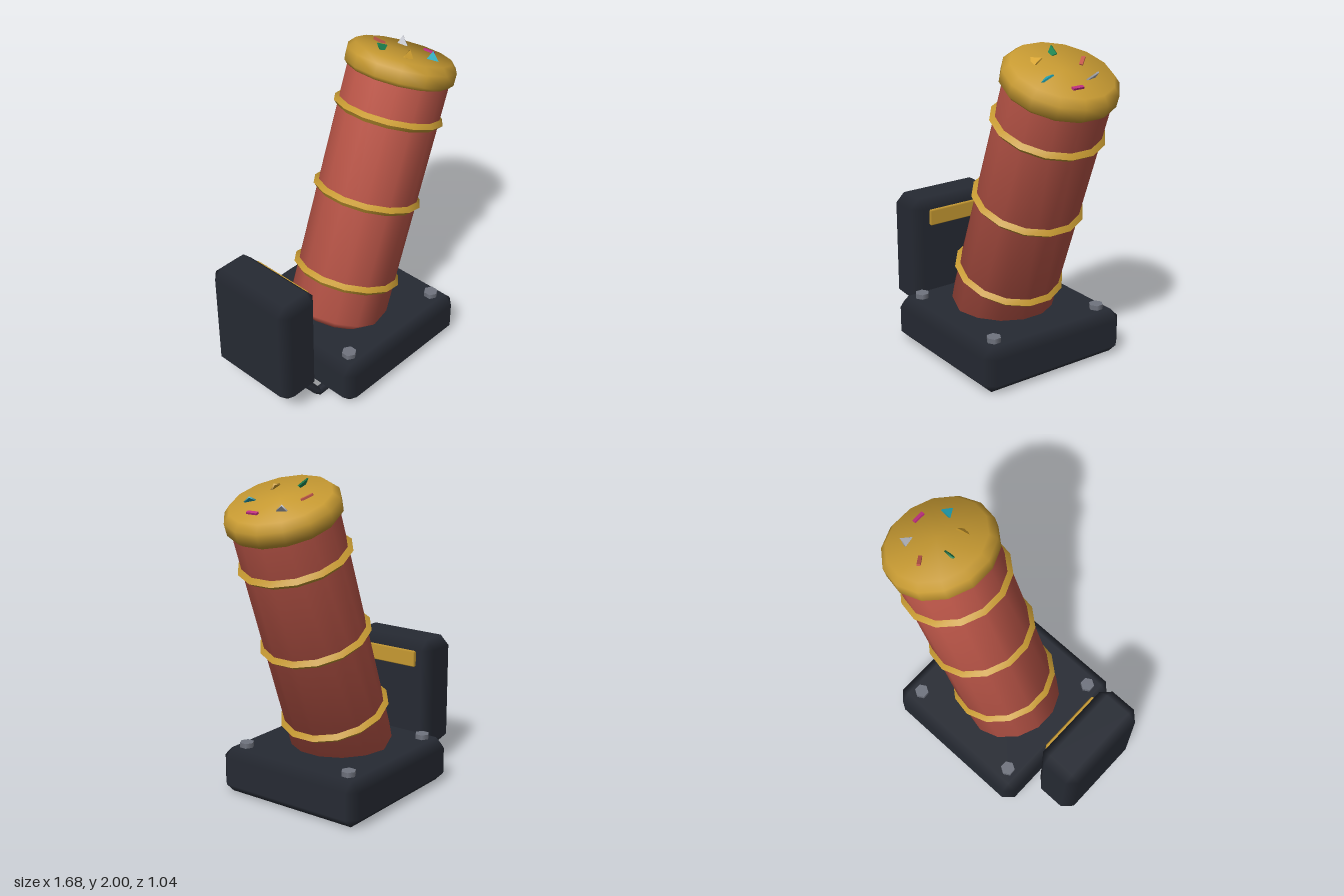
import * as THREE from 'three';
import { toCreasedNormals } from 'three/addons/utils/BufferGeometryUtils.js';
import { ConvexGeometry } from 'three/addons/geometries/ConvexGeometry.js';

const SIDES = 14;
const paint = (color) => new THREE.MeshStandardMaterial({ color });
const red = paint(0xc0584a);
const gold = paint(0xc79a32);
const dark = paint(0x262a33);
const steel = paint(0x70747f);

function add(parent, name, geometry, material, x = 0, y = 0, z = 0) {
  const mesh = new THREE.Mesh(geometry, material);
  mesh.name = name;
  mesh.position.set(x, y, z);
  parent.add(mesh);
  return mesh;
}

// Box with 45 degree chamfers; chamfers blend softly between the flat faces
function chamferBox(w, h, d, c) {
  const half = [w / 2, h / 2, d / 2];
  const points = [];
  for (let axis = 0; axis < 3; axis++)
    for (const sx of [-1, 1]) for (const sy of [-1, 1]) for (const sz of [-1, 1]) {
      const p = [sx, sy, sz].map((s, i) => s * (half[i] - (i === axis ? 0 : c)));
      points.push(new THREE.Vector3(...p));
    }
  const geometry = new ConvexGeometry(points);
  const pos = geometry.attributes.position;
  for (let i = 0; i < pos.count; i++) {
    const p = [pos.getX(i), pos.getY(i), pos.getZ(i)];
    const n = p.map((v, k) => (Math.abs(v) > half[k] - c / 2 ? Math.sign(v) : 0));
    geometry.attributes.normal.setXYZ(i, ...n);
  }
  return geometry;
}

// Solid of revolution, smooth round the axis with sharp rims
function turned(profile, crease) {
  const points = profile.map(([r, y]) => new THREE.Vector2(r, y));
  return toCreasedNormals(new THREE.LatheGeometry(points, SIDES), crease);
}

export function createModel() {
  const model = new THREE.Group();

  // Base plate with four hex bolts
  add(model, 'base', chamferBox(1.035, 0.29, 1.04, 0.06), dark, 0.018, 0.15, 0);
  for (const x of [-0.375, 0.412])
    for (const z of [-0.395, 0.395])
      add(model, 'bolt', new THREE.CylinderGeometry(0.046, 0.046, 0.05, 6), steel, x, 0.301, z);

  // Control box with its label plate
  add(model, 'controlBox', chamferBox(0.295, 0.738, 0.645, 0.06), dark, -0.697, 0.497, 0);
  add(model, 'labelPlate', chamferBox(0.04, 0.106, 0.44, 0.008), gold, -0.55, 0.747, -0.003);

  // Cable from the control box into the base
  const cable = new THREE.CurvePath();
  const route = [[-0.66, 0.19, 0.24], [-0.545, 0.04, 0.29], [-0.4, 0.04, 0.29]]
    .map((p) => new THREE.Vector3(...p));
  cable.add(new THREE.LineCurve3(route[0], route[1]));
  cable.add(new THREE.LineCurve3(route[1], route[2]));
  add(model, 'cable', new THREE.TubeGeometry(cable, 12, 0.028, 6), dark);

  // Tilted barrel assembly; its origin is the centre of the lowest ring
  const barrel = new THREE.Group();
  barrel.name = 'barrelAssembly';
  barrel.position.set(0.03, 0.527, 0);
  barrel.rotation.z = -THREE.MathUtils.degToRad(20);
  model.add(barrel);

  add(barrel, 'barrel', turned([[0, -0.3], [0.27, -0.3], [0.32, -0.25], [0.32, 1.36]], 0.9), red);
  add(barrel, 'cap', turned([[0.3, 1.315], [0.318, 1.317], [0.345, 1.345], [0.345, 1.42],
    [0.305, 1.462], [0, 1.464]], 0.9), gold);

  // Three bands with a diamond section
  const band = new THREE.TorusGeometry(0.32, 0.028, 4, SIDES);
  band.rotateX(Math.PI / 2).rotateY(Math.PI / 2);
  const bandGeometry = toCreasedNormals(band, 0.8);
  for (let i = 0; i < 3; i++) add(barrel, 'band', bandGeometry, gold, 0, i * 0.544, 0);

  // Confetti stuck in the cap: kind, colour, x, z, rotation
  const strip = new THREE.BoxGeometry(0.075, 0.012, 0.022);
  const flake = new THREE.CylinderGeometry(0.046, 0.046, 0.01, 3);
  const pieces = [
    [strip, 0xc0584a, -0.038, -0.167, [0.3, -0.85, 0]],
    [flake, 0xb8bac2, 0.127, -0.117, [0.2, 0.1, 1.1]],
    [flake, 0x1f8a55, -0.167, -0.04, [1.1, -0.2, 0.1]],
    [strip, 0xc0307f, 0.197, 0.045, [0, Math.PI / 2, 0]],
    [flake, 0xd9a632, -0.107, 0.122, [0.8, 0.5, 0.1]],
    [flake, 0x22a6b8, 0.068, 0.167, [0.3, 0.3, 0.7]],
  ];
  for (const [geometry, color, x, z, turn] of pieces)
    add(barrel, 'confetti', geometry, paint(color), x, 1.472, z).rotation.set(...turn);

  return model;
}
